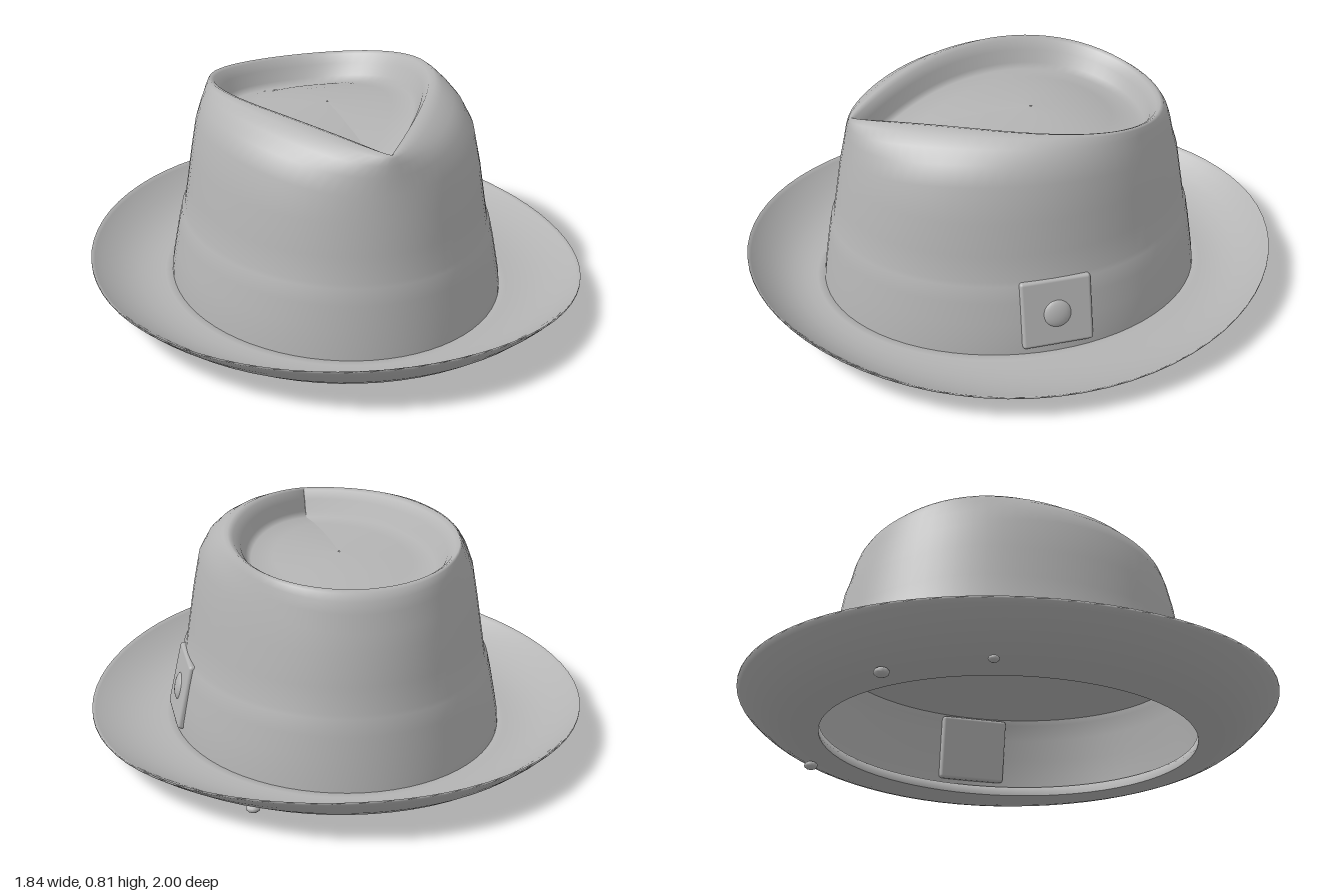
import * as THREE from 'three';
import { RoundedBoxGeometry } from 'three/addons/geometries/RoundedBoxGeometry.js';

const N = 72;
const lerp = THREE.MathUtils.lerp;

// Skin a list of closed rings; each ring is a rule angle -> [x, y, z]
function skin(rings) {
  const pos = [], idx = [];
  rings.forEach((ring, r) => {
    for (let i = 0; i < N; i++) {
      pos.push(...ring((i / N) * Math.PI * 2));
      if (r === 0) continue;
      const j = (i + 1) % N;
      const a = (r - 1) * N + i, b = (r - 1) * N + j, c = r * N + j, d = r * N + i;
      idx.push(a, b, c, a, c, d);
    }
  });
  const g = new THREE.BufferGeometry();
  g.setAttribute('position', new THREE.Float32BufferAttribute(pos, 3));
  g.setIndex(idx);
  g.computeVertexNormals();
  return g;
}

// Height of the crown's crest: highest beside the front pinch, low at the back
function crestHeight(t) {
  const d = Math.cos(t) - 0.25;
  return 0.815 - (d > 0 ? 0.098 : 0.051) * d * d;
}

// Outline that blends an ellipse into a teardrop pointing forward
function outline(t, rx, rz, w, dz, blend) {
  const x = lerp(rx * Math.sin(t), w * Math.sin(t) * Math.sin(t / 2), blend);
  const z = lerp(rz * Math.cos(t), 0.02 + dz * Math.cos(t), blend);
  return [x, z];
}

function crownGeometry() {
  const rings = [];
  // Side wall: y, x radius, z radius, with a small step where the band ends
  [[0.03, 0.615, 0.72], [0.1, 0.61, 0.712], [0.17, 0.597, 0.702], [0.25, 0.582, 0.69], [0.312, 0.568, 0.679],
    [0.325, 0.557, 0.67], [0.42, 0.542, 0.654], [0.54, 0.524, 0.634]].forEach(([y, rx, rz]) =>
    rings.push((t) => [rx * Math.sin(t), y, rz * Math.cos(t)]));
  // Shoulder and dent: drop below crest, x radius, z radius, teardrop width, length, blend
  [[0.14, 0.507, 0.618, 0.56, 0.59, 0.06], [0.075, 0.487, 0.607, 0.56, 0.59, 0.18],
    [0.035, 0.468, 0.6, 0.56, 0.585, 0.4], [0.01, 0.45, 0.59, 0.55, 0.58, 0.68],
    [0, 0.43, 0.58, 0.54, 0.57, 0.9], [0.008, 0, 0, 0.515, 0.56, 1],
    [0.04, 0, 0, 0.48, 0.54, 1], [0.085, 0, 0, 0.455, 0.52, 1],
    [0.105, 0, 0, 0.43, 0.5, 1]].forEach(([drop, rx, rz, w, dz, blend]) =>
    rings.push((t) => {
      const [x, z] = outline(t, rx, rz, w, dz, blend);
      return [x, crestHeight(t) - drop, z];
    }));
  // Softly domed floor of the dent
  [0.75, 0.5, 0.25, 0.01].forEach((s) => rings.push((t) => {
    const [x, z] = outline(t, 0, 0, 0.43, 0.5, 1);
    return [x * s, lerp(0.71, crestHeight(t) - 0.105, s * s), lerp(-0.08, z, s)];
  }));
  return skin(rings);
}

// Brim edge curls up at front and back, and less at the sides
function rimHeight(t) {
  const c = Math.cos(t), s = Math.sin(t);
  return c * c * (c > 0 ? 0.18 : 0.165) + s * s * (s > 0 ? 0.095 : 0.14);
}

function brimGeometry() {
  const ring = (s, top) => (t) => {
    const y = 0.02 + (rimHeight(t) - 0.02) * Math.pow(s, 2.5) + (top ? 0.008 + 0.027 * (1 - s) : 0);
    return [lerp(0.59, 0.92, s) * Math.sin(t), y, lerp(0.7, 1, s) * Math.cos(t)];
  };
  const steps = [0, 0.15, 0.3, 0.45, 0.6, 0.75, 0.88, 0.96, 1];
  return skin([
    ...steps.map((s) => ring(s, false)),
    ...steps.slice().reverse().map((s) => ring(s, true)),
    ring(0, false),
  ]);
}

export function createModel() {
  const hat = new THREE.Group();
  hat.name = 'hat';
  const felt = new THREE.MeshStandardMaterial({ color: 0xb4b4b4, side: THREE.DoubleSide });
  felt.name = 'grey felt';

  const add = (name, geometry, parent = hat) => {
    const m = new THREE.Mesh(geometry, felt);
    m.name = name;
    parent.add(m);
    return m;
  };

  add('crown', crownGeometry());
  add('brim', brimGeometry());

  // Lining that closes the inside of the crown
  const lining = add('lining', new THREE.CircleGeometry(1, N));
  lining.rotation.x = Math.PI / 2;
  lining.scale.set(0.555, 0.665, 1);
  lining.position.y = 0.33;

  // Tab and button on the left side of the band
  const trim = new THREE.Group();
  trim.name = 'bandTrim';
  trim.position.set(0.574, 0.2, -0.005);
  trim.rotation.z = 0.22;
  hat.add(trim);
  add('tab', new RoundedBoxGeometry(0.045, 0.25, 0.26, 2, 0.012), trim);
  const button = add('button', new THREE.SphereGeometry(0.052, 20, 14), trim);
  button.scale.x = 0.35;
  button.position.set(0.018, -0.005, 0);

  // Small stitch knots under the brim
  [[-0.5, -0.57, 0.028], [0.43, -0.67, 0.026], [-0.7, -0.24, 0.02]].forEach(([x, z, r]) => {
    const knot = add('stitchKnot', new THREE.SphereGeometry(r, 10, 8));
    knot.scale.y = 0.6;
    knot.position.set(x, 0.017, z);
  });
  return hat;
}
